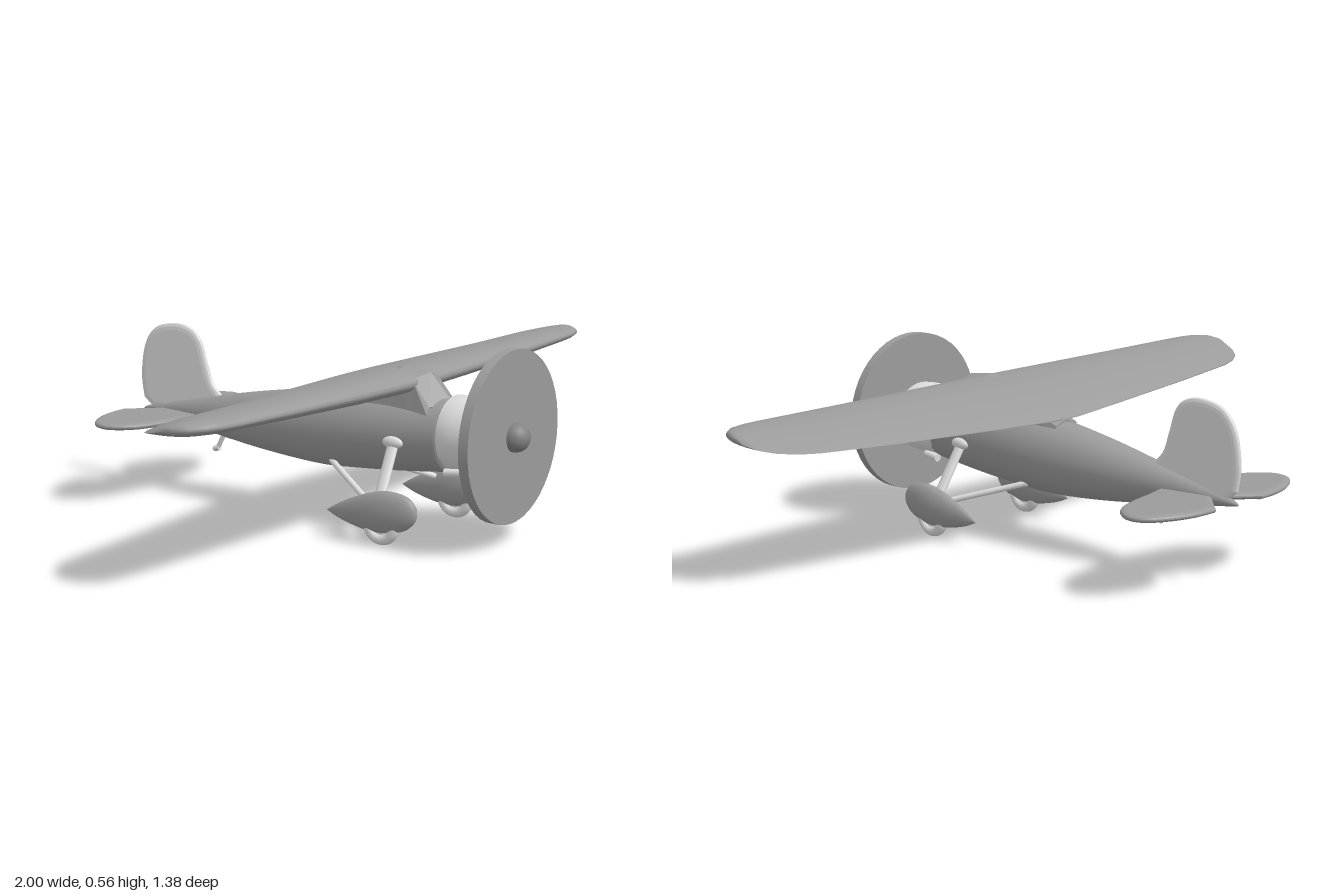
import * as THREE from 'three';

const V = (x, y, z) => new THREE.Vector3(x, y, z);
const grey = new THREE.MeshStandardMaterial({ color: 0x9b9b9b });
const pale = new THREE.MeshStandardMaterial({ color: 0xe0e0e0 });
const dark = new THREE.MeshStandardMaterial({ color: 0x828282 });
grey.name = 'body grey';
pale.name = 'pale grey';
dark.name = 'spinner grey';

function add(parent, name, geometry, material) {
  const mesh = new THREE.Mesh(geometry, material);
  mesh.name = name;
  parent.add(mesh);
  return mesh;
}

// Closed skin over a row of equal rings, capped at both ends and turned outward
function loft(rings) {
  const n = rings[0].length, pts = rings.flat(), tri = [];
  for (let r = 0; r < rings.length - 1; r++) {
    for (let i = 0; i < n; i++) {
      const a = r * n + i, b = r * n + (i + 1) % n;
      tri.push([a, b, b + n], [a, b + n, a + n]);
    }
  }
  for (const r of [0, rings.length - 1]) {
    const c = pts.length;
    pts.push(rings[r].reduce((s, p) => s.add(p), V(0, 0, 0)).divideScalar(n));
    for (let i = 0; i < n; i++) {
      const a = r * n + i, b = r * n + (i + 1) % n;
      tri.push(r ? [a, b, c] : [b, a, c]);
    }
  }
  const mid = rings[rings.length >> 1][0].clone();
  let volume = 0;
  for (const [a, b, c] of tri) {
    const [p, q, s] = [a, b, c].map(k => pts[k].clone().sub(mid));
    volume += p.dot(q.cross(s));
  }
  if (volume < 0) tri.forEach(t => t.reverse());
  const g = new THREE.BufferGeometry().setFromPoints(pts);
  g.setIndex(tri.flat());
  g.computeVertexNormals();
  return g;
}

// Body made of ellipses; each station is [z, centre y, half width, half height]
function ellipses(stations, x = 0, n = 32) {
  const curve = k => new THREE.SplineCurve(stations.map(s => new THREE.Vector2(s[0], s[k])));
  const curves = [1, 2, 3].map(curve), steps = stations.length * 4;
  return loft(Array.from({ length: steps + 1 }, (_, j) => {
    const [c, w, h] = curves.map(k => k.getPoint(j / steps));
    return Array.from({ length: n }, (_, i) => {
      const a = i / n * Math.PI * 2;
      return V(x + Math.cos(a) * Math.max(w.y, 0.001), c.y + Math.sin(a) * Math.max(h.y, 0.001), c.x);
    });
  }));
}

// Wing section: x, leading edge z, trailing edge z, their heights, thickness
function airfoil([x, lead, trail, yLead, yTrail, thick]) {
  const n = 28;
  return Array.from({ length: n }, (_, i) => {
    const a = i / n * Math.PI * 2, t = (1 - Math.cos(a)) / 2;
    const half = 1.3 * Math.sqrt(t) * (1 - t) * thick * Math.sign(Math.sin(a));
    const y = yLead + (yTrail - yLead) * t + thick * 0.6 * t * (1 - t) + half;
    return V(x, y, lead + (trail - lead) * t);
  });
}

// Thin tail surface with tapered edges, drawn in a plane
function tailPlate(points, closingPoints) {
  const shape = new THREE.Shape();
  shape.moveTo(...points[0]);
  shape.splineThru(points.slice(1).map(p => new THREE.Vector2(...p)));
  closingPoints.forEach(p => shape.lineTo(...p));
  return new THREE.ExtrudeGeometry(shape, {
    depth: 0.004, bevelThickness: 0.008, bevelSize: 0.02, bevelOffset: -0.02,
    bevelSegments: 3, curveSegments: 32,
  }).translate(0, 0, -0.002);
}

function rod(parent, name, from, to, radius, flat = 1) {
  const d = to.clone().sub(from);
  const m = add(parent, name, new THREE.CylinderGeometry(radius, radius, d.length(), 12), pale);
  m.scale.x = flat;
  m.position.copy(from).addScaledVector(d, 0.5);
  m.quaternion.setFromUnitVectors(V(0, 1, 0), d.normalize());
}

// Spun part about the nose axis; profile is [radius, z]
const nose = profile => new THREE.LatheGeometry(profile.map(p => new THREE.Vector2(...p)), 40)
  .rotateX(Math.PI / 2);

export function createModel() {
  const model = new THREE.Group();
  model.name = 'airplane';
  // Slight bank and yaw of the whole craft
  const tilt = new THREE.Group();
  tilt.name = 'airframe';
  tilt.position.y = 0.45;
  tilt.rotation.set(0, 0.02, -0.01);
  model.add(tilt);
  const plane = new THREE.Group();
  plane.name = 'parts';
  plane.position.y = -0.45;
  tilt.add(plane);

  // Fuselage
  add(plane, 'fuselage', ellipses([
    [0.46, 0.297, 0.1, 0.104], [0.3, 0.287, 0.104, 0.112], [0.15, 0.278, 0.104, 0.115],
    [0, 0.268, 0.097, 0.112], [-0.2, 0.26, 0.08, 0.09], [-0.4, 0.253, 0.053, 0.058],
    [-0.55, 0.248, 0.03, 0.031], [-0.65, 0.243, 0.013, 0.012], [-0.68, 0.24, 0.004, 0.004],
  ]), grey);

  // Cabin with a pointed windshield under the wing centre
  const section = (z, w, base, top, lean) => [
    V(-w, base, z), V(-w * 0.85, top - 0.015, z), V(0, top, z + lean),
    V(w * 0.85, top - 0.015, z), V(w, base, z), V(0, base - 0.03, z),
  ];
  const cabin = loft([
    section(0.405, 0.08, 0.36, 0.395, 0.03), section(0.345, 0.075, 0.36, 0.468, 0.02),
    section(0.28, 0.07, 0.36, 0.479, 0), section(0.12, 0.065, 0.35, 0.44, 0),
    section(-0.035, 0.05, 0.34, 0.385, 0),
  ]).toNonIndexed();
  cabin.computeVertexNormals();
  add(plane, 'cabin', cabin, grey);

  // Wing, mirrored stations from tip to tip
  const half = [
    [0.06, 0.36, -0.032, 0.44, 0.383, 0.076], [0.3, 0.353, -0.002, 0.442, 0.39, 0.07],
    [0.6, 0.343, 0.035, 0.447, 0.4, 0.058], [0.84, 0.334, 0.063, 0.452, 0.412, 0.048],
    [0.9, 0.328, 0.082, 0.453, 0.416, 0.045], [0.95, 0.314, 0.113, 0.454, 0.422, 0.04],
    [0.982, 0.288, 0.15, 0.453, 0.43, 0.032], [0.998, 0.25, 0.19, 0.451, 0.44, 0.018],
  ];
  const stations = [...half.map(([x, ...r]) => [-x, ...r]).reverse(), ...half];
  add(plane, 'wing', loft(stations.map(airfoil)), grey);

  // Engine cowl, engine face, shaft, propeller disc and spinner
  add(plane, 'cowl', nose([
    [0.095, 0.445], [0.106, 0.45], [0.108, 0.5], [0.107, 0.56], [0.104, 0.59],
    [0.097, 0.603], [0.086, 0.606], [0.08, 0.595], [0.08, 0.54], [0, 0.54],
  ]), pale).position.y = 0.306;
  const turned = (name, r, z0, z1, mat) =>
    add(plane, name, new THREE.CylinderGeometry(r, r, z1 - z0, 48)
      .rotateX(Math.PI / 2).translate(0, 0.315, (z0 + z1) / 2), mat);
  turned('propellerShaft', 0.02, 0.54, 0.62, dark);
  turned('propellerDisc', 0.245, 0.61, 0.64, grey);
  const spinner = add(plane, 'spinner', new THREE.SphereGeometry(0.042, 24, 16), dark);
  spinner.position.set(0, 0.315, 0.645);

  // Fin and rudder, drawn with z along the shape's x axis
  const fin = tailPlate([
    [-0.36, 0.3], [-0.41, 0.345], [-0.435, 0.41], [-0.458, 0.475], [-0.495, 0.508], [-0.555, 0.518],
    [-0.63, 0.5], [-0.674, 0.445], [-0.69, 0.35], [-0.68, 0.275],
  ], [[-0.64, 0.245], [-0.5, 0.25]]);
  add(plane, 'fin', fin.rotateY(-Math.PI / 2), pale);

  for (const s of [1, -1]) {
    const side = new THREE.Group();
    side.name = s > 0 ? 'leftSide' : 'rightSide';
    plane.add(side);

    // Tailplane
    const tail = tailPlate([
      [0.02, -0.425], [0.1, -0.447], [0.19, -0.465], [0.265, -0.493], [0.308, -0.535],
      [0.322, -0.58], [0.3, -0.625], [0.24, -0.662], [0.17, -0.683], [0.1, -0.687],
    ].map(([x, z]) => [x * s, z]), [[s * 0.03, -0.615], [s * 0.01, -0.6]]);
    add(side, 'tailplane', tail.rotateX(Math.PI / 2).translate(0, 0.245, 0), grey);

    // Wheel in a teardrop fairing
    add(side, 'wheelFairing', ellipses([
      [0.45, 0.105, 0.001, 0.001], [0.442, 0.105, 0.013, 0.026], [0.41, 0.103, 0.024, 0.05],
      [0.35, 0.098, 0.03, 0.061], [0.28, 0.09, 0.026, 0.052], [0.2, 0.082, 0.013, 0.026],
      [0.15, 0.077, 0.001, 0.001],
    ], s * 0.195, 20), grey);
    const wheel = add(side, 'wheel', new THREE.TorusGeometry(0.043, 0.017, 12, 32), pale);
    wheel.rotation.y = Math.PI / 2;
    wheel.position.set(s * 0.195, 0.062, 0.335);
    const hub = add(side, 'wheelHub', new THREE.CylinderGeometry(0.04, 0.04, 0.018, 24), pale);
    hub.rotation.z = Math.PI / 2;
    hub.position.copy(wheel.position);

    // Struts and the collar where the main one meets the body
    rod(side, 'mainStrut', V(s * 0.19, 0.12, 0.32), V(s * 0.098, 0.275, 0.308), 0.018, 0.55);
    rod(side, 'rearStrut', V(s * 0.19, 0.115, 0.29), V(s * 0.06, 0.185, 0.07), 0.009);
    const collar = add(side, 'strutCollar', new THREE.SphereGeometry(1, 20, 12), pale);
    collar.scale.set(0.014, 0.018, 0.034);
    collar.position.set(s * 0.103, 0.275, 0.308);

    // Exhaust stub under the cowl
    rod(side, 'exhaust', V(s * 0.055, 0.205, 0.51), V(s * 0.06, 0.2, 0.455), 0.012);
  }

  // Tail skid
  rod(plane, 'tailSkid', V(0, 0.205, -0.365), V(0, 0.15, -0.395), 0.007);
  rod(plane, 'skidShoe', V(0, 0.152, -0.388), V(0, 0.146, -0.408), 0.009);
  return model;
}
